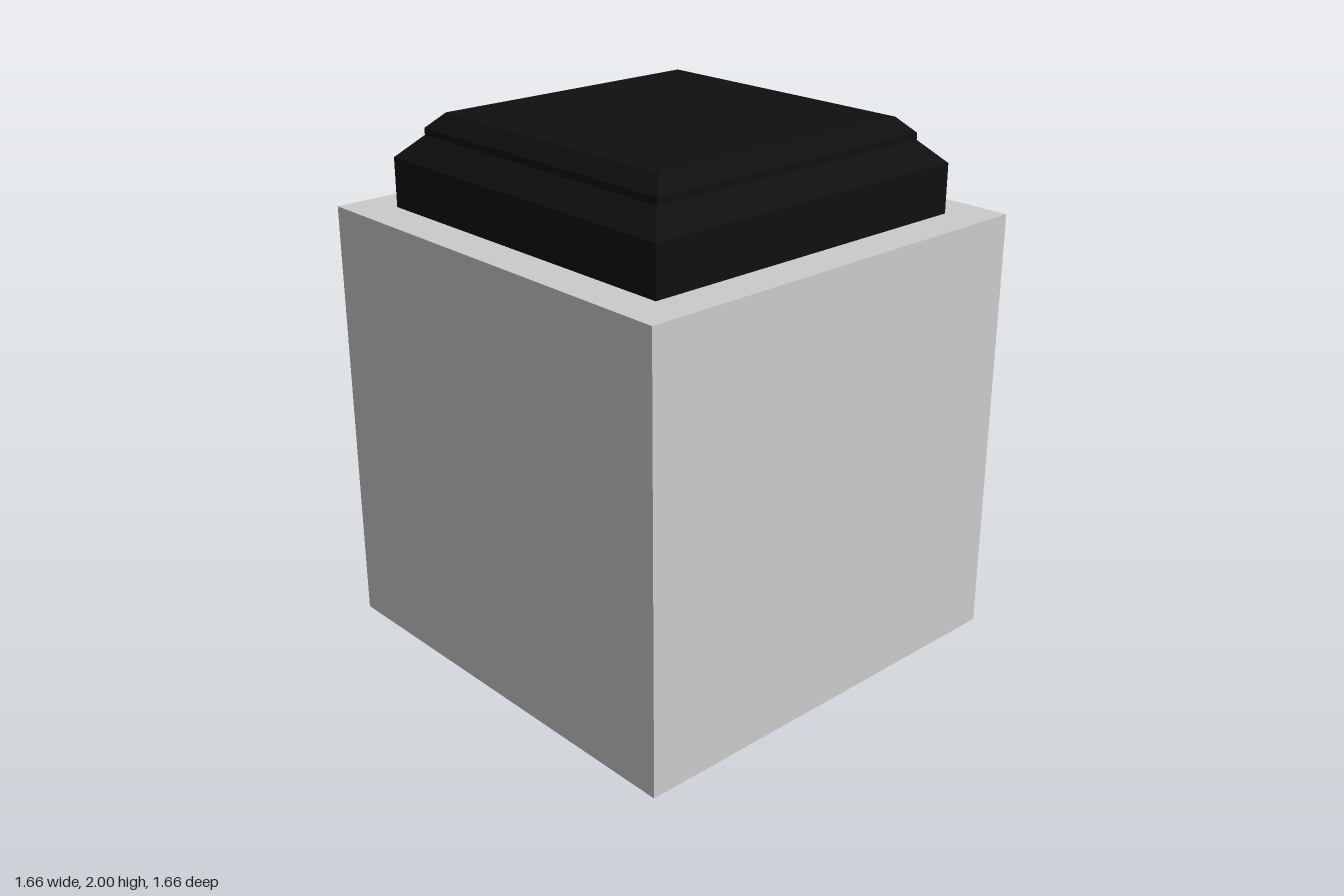
import * as THREE from 'three';

// Square solid from a profile of [half width, height], listed bottom to top
function squareSolid(name, profile, color) {
  const points = profile.map(([half, y]) => new THREE.Vector2(half * Math.SQRT2, y));
  const geometry = new THREE.LatheGeometry(points, 4, Math.PI / 4);
  const material = new THREE.MeshStandardMaterial({ color, flatShading: true });
  const mesh = new THREE.Mesh(geometry, material);
  mesh.name = name;
  return mesh;
}

export function createModel() {
  const group = new THREE.Group();
  group.name = 'squareJar';

  // Body with a chamfered foot and a flat shoulder
  group.add(squareSolid('body', [
    [0, 0], [0.79, 0], [0.83, 0.04], [0.83, 1.66], [0, 1.66],
  ], 0xcccccc));

  // Stepped lid with two bevels
  group.add(squareSolid('lid', [
    [0.68, 1.66], [0.68, 1.84], [0.6, 1.92], [0.6, 1.945], [0.545, 2], [0, 2],
  ], 0x0f0f0f));

  return group;
}
